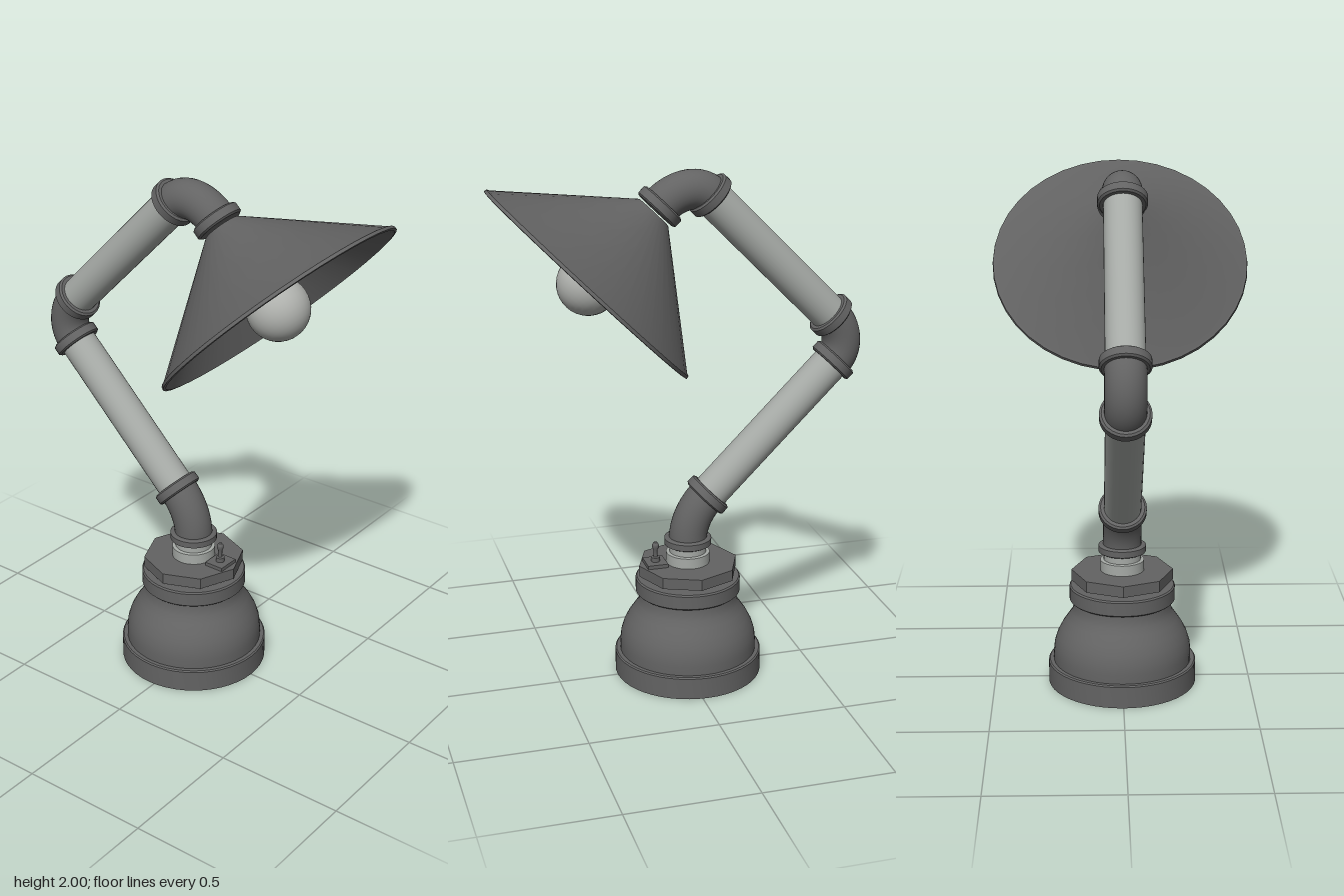
import * as THREE from 'three';
import { toCreasedNormals } from 'three/addons/utils/BufferGeometryUtils.js';

const UP = new THREE.Vector3(0, 1, 0);
const BASE_Z = -0.022;
const P = (y, z) => new THREE.Vector3(0, y, z);

export function createModel() {
  const lamp = new THREE.Group();
  lamp.name = 'pipeLamp';

  const material = (name, color) => {
    const m = new THREE.MeshStandardMaterial({ color });
    m.name = name;
    return m;
  };
  const iron = material('dark iron', 0x636363);
  const steel = material('light steel', 0xa6aaa6);
  const glass = material('bulb glass', 0xafb1ad);

  const add = (name, geometry, mat) => {
    const mesh = new THREE.Mesh(geometry, mat);
    mesh.name = name;
    lamp.add(mesh);
    return mesh;
  };

  // Turned part: profile of [radius, height], standing at a point along a direction
  const turned = (name, profile, mat, at, dir = UP, sides = 32) => {
    const pts = profile.map(([r, h]) => new THREE.Vector2(r, h));
    const mesh = add(name, toCreasedNormals(new THREE.LatheGeometry(pts, sides), 0.6), mat);
    mesh.position.copy(at);
    mesh.quaternion.setFromUnitVectors(UP, dir);
    return mesh;
  };

  const pipe = (name, a, b, r) => {
    const mesh = add(name, new THREE.CylinderGeometry(r, r, a.distanceTo(b), 32), steel);
    mesh.position.copy(a).lerp(b, 0.5);
    mesh.quaternion.setFromUnitVectors(UP, b.clone().sub(a).normalize());
  };

  // Rounded band at the mouth of a fitting
  const collar = (name, at, dir) => turned(name, [
    [0, -0.021], [0.084, -0.021], [0.092, -0.015], [0.092, 0.015], [0.084, 0.021], [0, 0.021],
  ], iron, at, dir);

  // Elbow between two points, rounded about a corner
  const elbow = (name, a, corner, b, pull) => {
    const curve = new THREE.CubicBezierCurve3(
      a, a.clone().lerp(corner, pull), b.clone().lerp(corner, pull), b);
    add(name, new THREE.TubeGeometry(curve, 20, 0.074, 32), iron);
  };

  // Bell-shaped base
  const base = P(0, BASE_Z);
  turned('baseFlange', [[0, 0], [0.288, 0], [0.288, 0.085], [0.283, 0.09], [0, 0.09]], iron, base, UP, 48);
  turned('baseBell', [
    [0.268, 0.09], [0.268, 0.125], [0.264, 0.16], [0.253, 0.195], [0.236, 0.228],
    [0.214, 0.26], [0.197, 0.285], [0.188, 0.31], [0.186, 0.335],
  ], iron, base, UP, 48);
  turned('baseRim', [
    [0.18, 0.335], [0.2, 0.335], [0.205, 0.34], [0.205, 0.392], [0.2, 0.398], [0, 0.398],
  ], iron, base, UP, 48);

  // Eight-sided nut on a short neck
  turned('nutNeck', [[0.09, 0.39], [0.09, 0.42]], iron, base);
  const nut = add('octagonNut',
    new THREE.CylinderGeometry(0.197, 0.197, 0.044, 8).toNonIndexed(), iron);
  nut.geometry.computeVertexNormals();
  nut.position.set(0, 0.434, BASE_Z);

  // Toggle switch on the nut
  const plate = add('switchPlate', new THREE.BoxGeometry(0.09, 0.015, 0.08), iron);
  plate.position.set(0, 0.463, 0.11);
  turned('switchLever', [
    [0.017, 0], [0.017, 0.02], [0.008, 0.022], [0.008, 0.05],
    [0.013, 0.06], [0.013, 0.072], [0.007, 0.081], [0, 0.083],
  ], iron, P(0.468, 0.109), UP, 16);

  // Stem at the foot of the arm
  turned('stemBushing', [[0.085, 0.455], [0.085, 0.498], [0.072, 0.5], [0.072, 0.54]], steel, base);

  // Arm: bend points of the pipe run, with the mouths of each elbow
  const back = P(1, -1).normalize();
  const forward = P(1, 1).normalize();
  const down = P(-1, 1).normalize();
  const along = (p, dir, d) => p.clone().addScaledVector(dir, d);
  const c1 = P(0.645, BASE_Z), c2 = P(1.312, -0.688), c3 = P(1.979, -0.025);
  const foot = P(0.545, BASE_Z);
  const low = along(c1, back, 0.113);
  const kneeIn = along(c2, back, -0.118), kneeOut = along(c2, forward, 0.138);
  const topIn = along(c3, forward, -0.113), topOut = along(c3, down, 0.157);

  elbow('lowerElbow', foot, c1, low, 0.64);
  elbow('kneeElbow', kneeIn, c2, kneeOut, 0.55);
  elbow('topElbow', topIn, c3, topOut, 0.55);
  pipe('lowerPipe', low, kneeIn, 0.071);
  pipe('upperPipe', kneeOut, topIn, 0.071);
  collar('footCollar', foot, UP).scale.y = 0.8;
  collar('lowerCollar', low, back);
  collar('kneeCollarLower', kneeIn, back);
  collar('kneeCollarUpper', kneeOut, forward);
  collar('topCollar', topIn, forward);
  collar('shadeCollar', topOut, down);

  // Conical shade with inner and outer skins
  const shadeTop = P(1.848, 0.109);
  turned('shade', [
    [0.072, 0], [0.488, 0.346], [0.498, 0.35], [0.5, 0.362], [0.489, 0.364],
    [0.478, 0.354], [0.068, 0.012], [0, 0.012],
  ], iron, shadeTop, down, 40);

  // Socket and bulb
  turned('socket', [
    [0.062, 0], [0.062, 0.055], [0.055, 0.06], [0.055, 0.085], [0.048, 0.09], [0, 0.09],
  ], iron, shadeTop, down);
  const bulb = [[0.046, 0.085], [0.05, 0.12], [0.062, 0.17], [0.08, 0.22], [0.098, 0.268]];
  for (let i = 0; i <= 12; i++) {
    const a = -0.5 + (i / 12) * (0.5 + Math.PI / 2);
    bulb.push([Math.max(0, 0.117 * Math.cos(a)), 0.352 + 0.117 * Math.sin(a)]);
  }
  turned('bulb', bulb, glass, shadeTop, down);

  return lamp;
}
